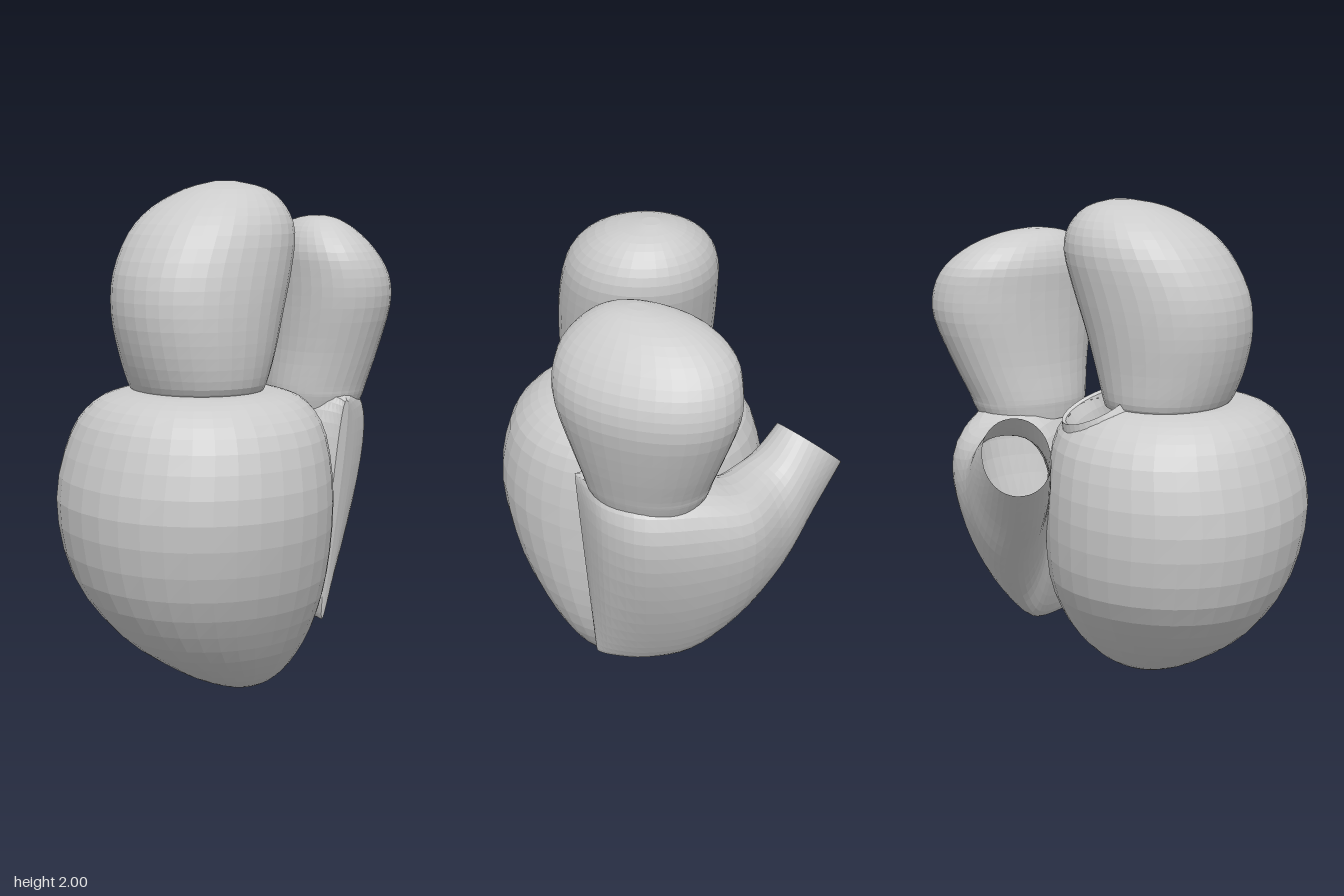
import * as THREE from 'three';

const SEG = 36;
const V = (x, y, z) => new THREE.Vector3(x, y, z);

// Smoothly subdivide rows of section parameters (Catmull-Rom per column)
function refine(rows, n) {
  const out = [];
  const at = i => rows[Math.min(rows.length - 1, Math.max(0, i))];
  for (let i = 0; i < rows.length - 1; i++) {
    for (let k = 0; k < n; k++) {
      const t = k / n;
      out.push(rows[i].map((b, c) => {
        const a = at(i - 1)[c], d = at(i + 1)[c], e = at(i + 2)[c];
        return 0.5 * (2 * b + (d - a) * t + (2 * a - 5 * b + 4 * d - e) * t * t + (3 * b - a - 3 * d + e) * t ** 3);
      }));
    }
  }
  out.push(rows[rows.length - 1]);
  return out;
}

// Skin a stack of rings; the far end may stay open, and a test may leave faces out
function loft(name, rings, { capEnd = true, skip = null } = {}) {
  const pos = [];
  const tri = (a, b, c) => {
    if (skip && skip(a.clone().add(b).add(c).divideScalar(3))) return;
    for (const p of [a, b, c]) pos.push(p.x, p.y, p.z);
  };
  const centre = r => r.reduce((s, p) => s.add(p), V(0, 0, 0)).divideScalar(r.length);
  const first = rings[0], last = rings[rings.length - 1];
  const c0 = centre(first), c1 = centre(last);
  for (let j = 0; j < SEG; j++) {
    const k = (j + 1) % SEG;
    for (let i = 0; i < rings.length - 1; i++) {
      const lo = rings[i], hi = rings[i + 1];
      tri(lo[j], hi[j], lo[k]);
      tri(hi[j], hi[k], lo[k]);
    }
    tri(c0, first[j], first[k]);
    if (capEnd) tri(c1, last[k], last[j]);
  }
  const geo = new THREE.BufferGeometry();
  geo.setAttribute('position', new THREE.Float32BufferAttribute(pos, 3));
  geo.computeVertexNormals();
  return makeMesh(name, geo);
}

function makeMesh(name, geo) {
  const mesh = new THREE.Mesh(geo, new THREE.MeshStandardMaterial({
    color: 0xcccccc, flatShading: true, side: THREE.DoubleSide,
  }));
  mesh.name = name;
  return mesh;
}

// Slightly squared unit circle mapped to points
const power = (v, p) => Math.sign(v) * Math.abs(v) ** p;
const ring = fn => Array.from({ length: SEG }, (_, j) => {
  const a = (j / SEG) * Math.PI * 2;
  return fn(power(Math.cos(a), 0.95), power(Math.sin(a), 0.95));
});

// Horizontal section from its extents: y, x min, x max, z min, z max
const boxRing = ([y, x0, x1, z0, z1]) => ring((c, s) =>
  V((x0 + x1) / 2 + c * (x1 - x0) / 2, y, (z0 + z1) / 2 + s * (z1 - z0) / 2));

// Horizontal ellipse turned about y: y, centre x, centre z, long and short radius
const turnedRing = angle => ([y, cx, cz, ra, rb]) => ring((c, s) => V(
  cx + c * ra * Math.cos(angle) - s * rb * Math.sin(angle), y,
  cz + c * ra * Math.sin(angle) + s * rb * Math.cos(angle)));

// Egg section: centre, sideways half axis, upward half axis, taper (narrow foot, full top)
const eggRing = ([x, y, z, ux, uy, uz, vx, vy, vz, taper]) => ring((c, s) => {
  const w = (s > 0 ? power(c, 1 - 0.55 * taper) : c) * (1 + taper * s);
  return V(x + w * ux + s * vx, y + w * uy + s * vy, z + w * uz + s * vz);
});

export function createModel() {
  const group = new THREE.Group();

  // Short outflow collar on the shoulder of the large chamber
  const hole = V(-0.1, 1.165, 0.025);
  const axis = V(-0.32, 0.88, -0.28).normalize();
  const collar = makeMesh('outflowCollar', new THREE.LatheGeometry([
    [0.18, -0.08], [0.165, 0], [0.15, 0.04], [0.138, 0.03], [0.128, -0.02], [0.125, -0.08],
  ].map(p => new THREE.Vector2(...p)), SEG));
  collar.position.copy(hole);
  collar.quaternion.setFromUnitVectors(V(0, 1, 0), axis);
  group.add(collar);
  const inHole = p => {
    const d = p.clone().sub(hole);
    return p.y > 0.9 && d.addScaledVector(axis, -d.dot(axis)).length() < 0.14;
  };

  // Large front lower chamber
  group.add(loft('frontLowerChamber', refine([
    [0, 0.17, 0.27, 0.02, 0.12],
    [0.03, 0.075, 0.34, -0.055, 0.22],
    [0.1, -0.035, 0.415, -0.145, 0.36],
    [0.25, -0.195, 0.52, -0.235, 0.56],
    [0.48, -0.36, 0.635, -0.275, 0.715],
    [0.78, -0.41, 0.695, -0.275, 0.77],
    [1.03, -0.365, 0.65, -0.25, 0.71],
    [1.15, -0.27, 0.56, -0.19, 0.63],
    [1.195, -0.18, 0.46, -0.1, 0.53],
    [1.203, -0.1, 0.36, -0.01, 0.44],
    [1.203, 0.1, 0.16, 0.18, 0.24],
  ], 3).map(boxRing), { skip: inHole }));

  // Front upper chamber
  group.add(loft('frontUpperChamber', refine([
    [1.19, -0.15, 0.37, -0.03, 0.45],
    [1.23, -0.17, 0.405, -0.04, 0.475],
    [1.35, -0.18, 0.425, -0.08, 0.52],
    [1.5, -0.195, 0.43, -0.125, 0.55],
    [1.65, -0.205, 0.42, -0.175, 0.535],
    [1.8, -0.205, 0.39, -0.21, 0.455],
    [1.9, -0.165, 0.33, -0.185, 0.345],
    [1.97, -0.08, 0.23, -0.115, 0.2],
    [2.0, 0.02, 0.09, -0.01, 0.07],
  ], 3).map(boxRing)));

  // Back upper chamber
  group.add(loft('backUpperChamber', refine([
    [1.09, 0.07, -0.42, 0.225, 0.185],
    [1.14, 0.07, -0.428, 0.245, 0.198],
    [1.18, 0.07, -0.435, 0.255, 0.205],
    [1.32, 0.07, -0.47, 0.3, 0.22],
    [1.5, 0.07, -0.5, 0.355, 0.24],
    [1.62, 0.07, -0.495, 0.36, 0.235],
    [1.72, 0.065, -0.465, 0.33, 0.205],
    [1.8, 0.07, -0.435, 0.245, 0.15],
    [1.845, 0.09, -0.415, 0.14, 0.085],
    [1.86, 0.1, -0.41, 0.04, 0.03],
  ], 3).map(turnedRing(0.42))));

  // Back lower chamber, sweeping round into its open outflow tube
  group.add(loft('backLowerChamber', refine([
    [0.32, 0.68, -0.325, 0, 0, -0.02, 0.03, 0.45, -0.035, 0.4],
    [0.29, 0.68, -0.345, 0, 0, -0.08, 0.01, 0.465, -0.045, 0.6],
    [0.22, 0.68, -0.37, 0, 0, -0.145, 0, 0.47, -0.055, 0.6],
    [0.08, 0.68, -0.385, 0, 0, -0.19, 0, 0.475, -0.065, 0.6],
    [-0.1, 0.69, -0.37, -0.02, 0, -0.19, 0, 0.445, -0.06, 0.5],
    [-0.25, 0.735, -0.335, -0.085, 0, -0.165, 0, 0.355, -0.05, 0.35],
    [-0.38, 0.83, -0.23, -0.105, 0, -0.125, 0.03, 0.26, -0.03, 0.2],
    [-0.48, 0.95, -0.14, -0.1, 0, -0.11, 0.06, 0.18, -0.07, 0.1],
    [-0.575, 1.08, -0.055, -0.092, -0.01, -0.092, 0.092, 0.118, -0.092, 0],
  ], 4).map(eggRing), { capEnd: false }));

  return group;
}
